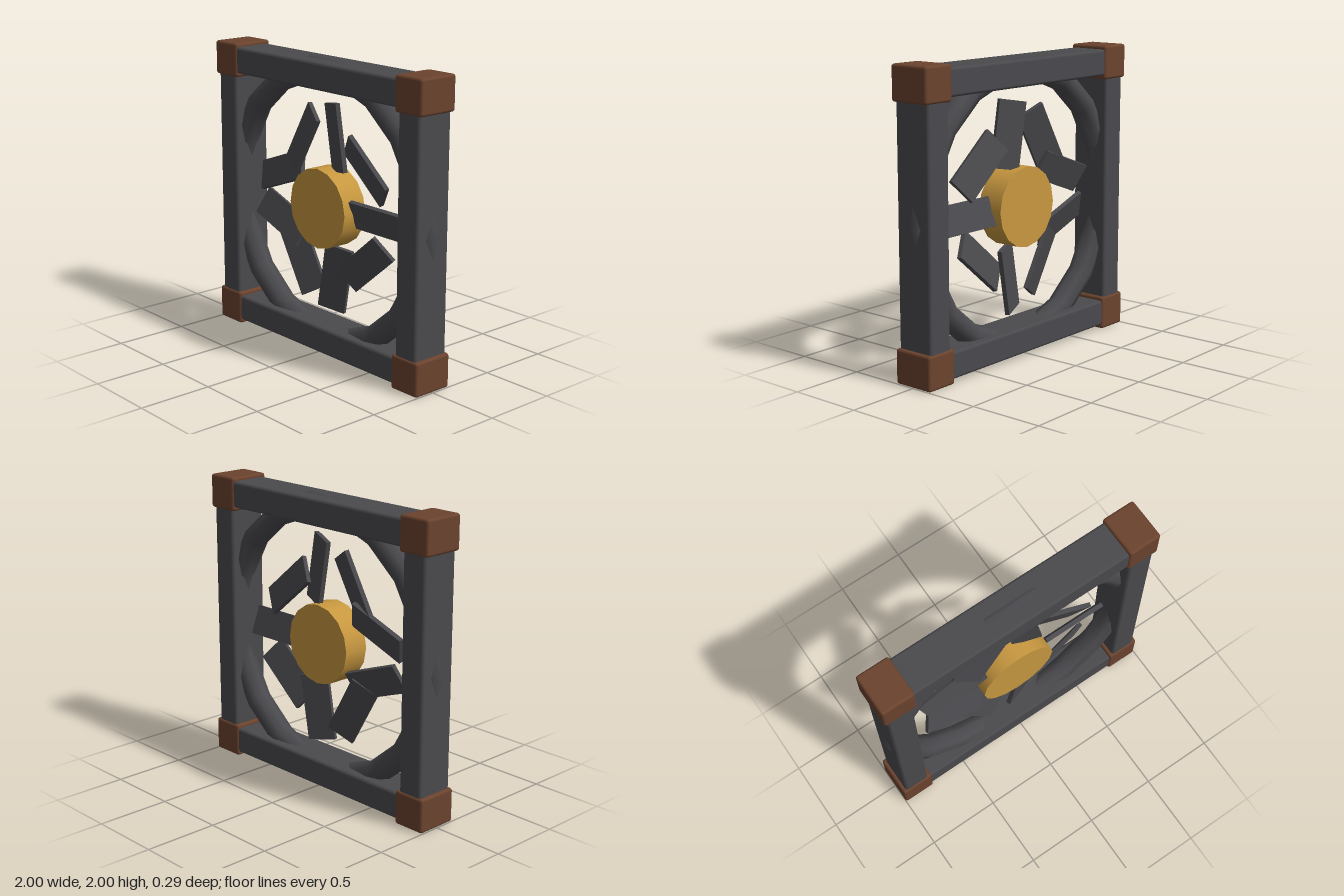
import * as THREE from 'three';
import { RoundedBoxGeometry } from 'three/addons/geometries/RoundedBoxGeometry.js';

export function createModel() {
  const metal = new THREE.MeshStandardMaterial({ color: 0x4a4a4e });
  metal.name = 'dark metal';
  const rust = new THREE.MeshStandardMaterial({ color: 0x6b432e });
  rust.name = 'rusty brown';
  const brass = new THREE.MeshStandardMaterial({ color: 0xc89840 });
  brass.name = 'brass';

  const model = new THREE.Group();
  model.name = 'ventilationFan';
  const add = (name, geometry, material, x, y, z = 0) => {
    const mesh = new THREE.Mesh(geometry, material);
    mesh.name = name;
    mesh.position.set(x, y, z);
    model.add(mesh);
    return mesh;
  };

  // Square frame of four bevelled bars
  const beam = new RoundedBoxGeometry(1.7, 0.18, 0.27, 1, 0.02);
  const post = new RoundedBoxGeometry(0.18, 1.7, 0.27, 1, 0.02);
  add('topBeam', beam, metal, 0, 1.885);
  add('bottomBeam', beam, metal, 0, 0.115);
  add('leftPost', post, metal, 0.885, 1);
  add('rightPost', post, metal, -0.885, 1);

  // Corner blocks
  const corner = new RoundedBoxGeometry(0.23, 0.23, 0.29, 2, 0.018);
  for (const x of [-0.885, 0.885])
    for (const y of [0.115, 1.885]) add('cornerBlock', corner, rust, x, y);

  // Round shroud inside the frame
  add('shroudRing', new THREE.TorusGeometry(0.915, 0.085, 8, 18), metal, 0, 1);

  // Hub
  const hub = new THREE.CylinderGeometry(0.27, 0.27, 0.18, 16).rotateX(Math.PI / 2);
  add('hub', hub, brass, 0, 1);

  // Nine pitched blades around the hub, each turned against its own position angle
  const blade = new THREE.BoxGeometry(0.45, 0.2, 0.03).rotateX(0.35);
  for (let i = 0; i < 9; i++) {
    const a = (i / 9) * Math.PI * 2;
    add('blade', blade, metal, 0.485 * Math.cos(a), 1 + 0.485 * Math.sin(a)).rotation.z = -a;
  }

  return model;
}
